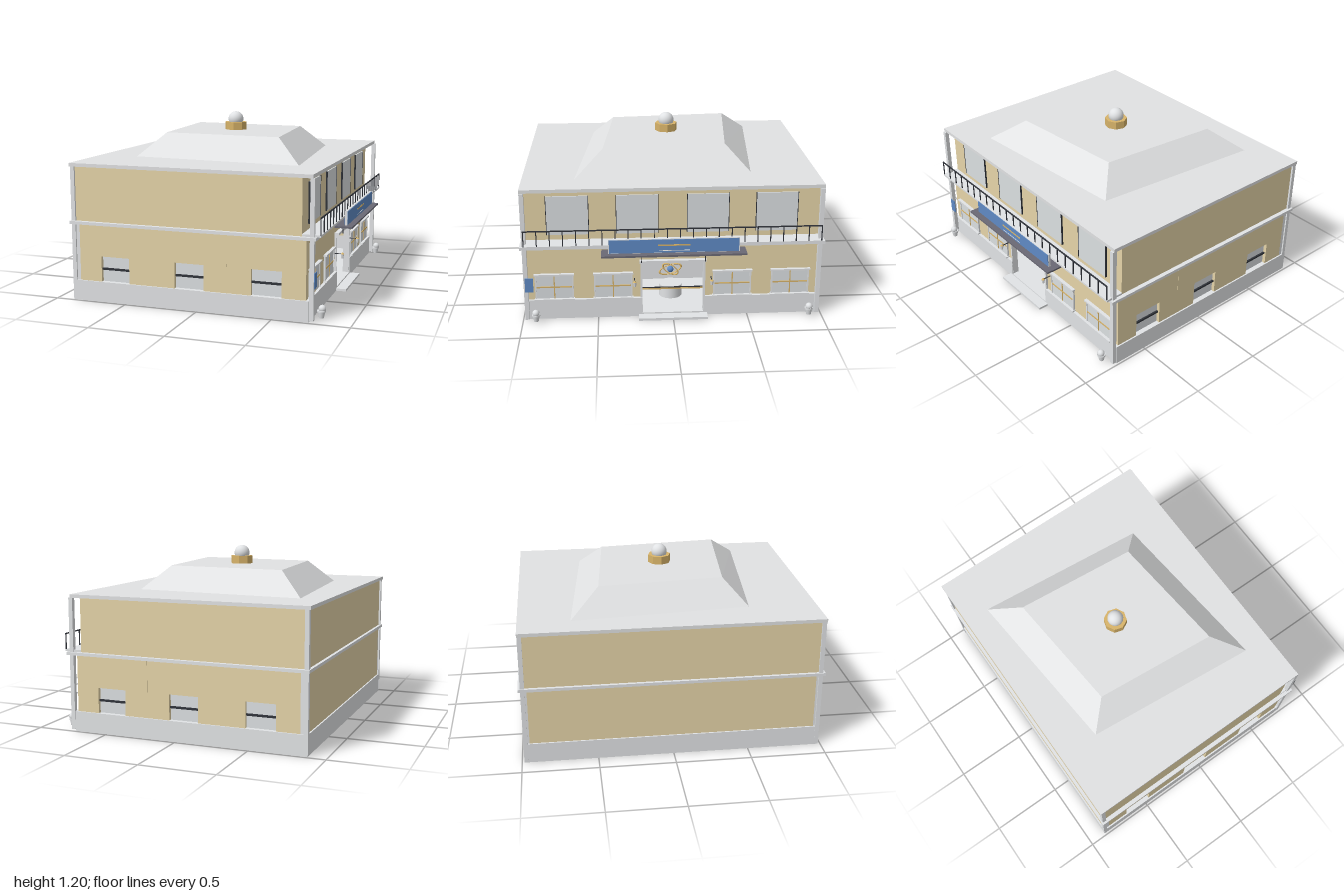
import * as THREE from 'three';

const mat = (name, color, extra = {}) => {
  const m = new THREE.MeshStandardMaterial({ color, ...extra });
  m.name = name;
  return m;
};

export function createModel() {
  const root = new THREE.Group();
  root.name = 'civicBuilding';
  const stone = mat('paleStone', 0xe1e3e5);
  const roofGrey = mat('roofGrey', 0xe1e2e3, { flatShading: true });
  const tan = mat('tanWall', 0xe5d4a8);
  const gold = mat('gold', 0xd8b46a, { flatShading: true });
  const glass = mat('windowGrey', 0xdbdfe1);
  const iron = mat('darkIron', 0x30333a);
  const slate = mat('canopySlate', 0x6a6975);
  const blue = mat('signBlue', 0x5f8ac4);

  const add = (name, geo, material, x = 0, y = 0, z = 0) => {
    const m = new THREE.Mesh(geo, material);
    m.name = name;
    m.position.set(x, y, z);
    root.add(m);
    return m;
  };
  // Box given by its extents
  const box = (name, m, x0, x1, y0, y1, z0, z1) =>
    add(name, new THREE.BoxGeometry(x1 - x0, y1 - y0, z1 - z0), m,
      (x0 + x1) / 2, (y0 + y1) / 2, (z0 + z1) / 2);
  // Box repeated on both z sides (z0 < z1, given for +z)
  const pair = (name, m, x0, x1, y0, y1, z0, z1) => {
    box(name, m, x0, x1, y0, y1, z0, z1);
    box(name, m, x0, x1, y0, y1, -z1, -z0);
  };

  // Plinth with a doorway gap
  box('floor', stone, -0.88, 0.735, 0, 0.025, -0.985, 0.985);
  box('plinthBack', stone, -0.88, 0.2, 0.025, 0.135, -0.985, 0.985);
  pair('plinthSide', stone, 0.2, 0.735, 0.025, 0.135, 0.94, 0.985);
  pair('plinthFront', stone, 0.69, 0.735, 0.025, 0.135, 0.205, 0.94);

  // Ground floor: rear block and hollow lobby behind the doorway
  box('lowerWallBack', tan, -0.87, 0.19, 0.135, 0.515, -0.945, 0.945);
  box('lobbyBackWall', stone, 0.19, 0.2, 0.025, 0.515, -0.945, 0.945);
  pair('lobbySide', tan, 0.2, 0.69, 0.135, 0.515, 0.93, 0.945);
  pair('lowerWallFront', tan, 0.69, 0.715, 0.135, 0.515, 0.205, 0.945);
  box('wallOverDoor', tan, 0.69, 0.715, 0.39, 0.515, -0.205, 0.205);
  box('lobbyCeiling', tan, 0.2, 0.69, 0.505, 0.515, -0.93, 0.93);
  pair('cornerQuoin', stone, -0.87, -0.83, 0.135, 0.515, 0.945, 0.975);

  // Outer side walls: piers between recessed windows, band above, joint at x = 0.2
  for (const [x0, x1] of [[-0.83, -0.675], [-0.475, -0.155], [0.045, 0.2], [0.2, 0.36], [0.56, 0.715]])
    pair('sidePier', tan, x0, x1, 0.135, 0.305, 0.945, 0.975);
  pair('sideBandRear', tan, -0.83, 0.199, 0.305, 0.515, 0.945, 0.975);
  pair('sideBandFront', tan, 0.201, 0.715, 0.305, 0.515, 0.945, 0.975);
  for (const x of [-0.675, -0.155, 0.36]) {
    pair('sideWindow', glass, x, x + 0.2, 0.135, 0.305, 0.945, 0.951);
    pair('sideWindowBar', iron, x, x + 0.2, 0.213, 0.226, 0.951, 0.963);
  }

  // Ledge, upper floor and roof slab
  box('ledge', stone, -0.89, 0.78, 0.515, 0.535, -1, 1);
  box('upperWall', tan, -0.87, 0.685, 0.535, 0.895, -0.972, 0.972);
  box('roofSlab', roofGrey, -0.89, 0.755, 0.895, 0.918, -0.987, 0.987);
  for (const x of [-0.882, 0.737]) pair('cornerPillar', stone, x, x + 0.028, 0.01, 0.895, 0.957, 0.985);

  // Skewed hipped roof made from two rings of corners
  const low = [[-0.72, -0.648], [0.46, -0.54], [0.572, 0.643], [-0.614, 0.532]];
  const high = [[-0.53, -0.455], [0.302, -0.38], [0.381, 0.452], [-0.455, 0.378]];
  const pts = [];
  const v = (c, y) => [c[0], y, c[1]];
  for (let i = 0; i < 4; i++) {
    const j = (i + 1) % 4;
    const a = v(low[i], 0.918), b = v(low[j], 0.918), c = v(high[j], 1.075), d = v(high[i], 1.075);
    pts.push(...a, ...c, ...b, ...a, ...d, ...c);
  }
  const t = high.map(c => v(c, 1.075));
  pts.push(...t[0], ...t[2], ...t[1], ...t[0], ...t[3], ...t[2]);
  const hip = new THREE.BufferGeometry();
  hip.setAttribute('position', new THREE.Float32BufferAttribute(pts, 3));
  hip.computeVertexNormals();
  add('hippedRoof', hip, roofGrey);

  // Octagonal cupola with dome
  add('cupolaBase', new THREE.CylinderGeometry(0.078, 0.078, 0.055, 8), gold, -0.076, 1.102, 0).rotation.y = 0.1;
  add('cupolaDome', new THREE.SphereGeometry(0.054, 24, 16), stone, -0.076, 1.15, 0);

  // Upper facade windows with thin dark frames
  for (const z of [0.095, 0.55]) {
    pair('upperWindow', glass, 0.685, 0.694, 0.585, 0.85, z, z + 0.275);
    for (const e of [z, z + 0.275])
      pair('upperWindowJamb', iron, 0.685, 0.696, 0.585, 0.851, e - 0.002, e + 0.002);
  }

  // Lower facade windows with gold glazing bars
  for (const z of [0.27, 0.66]) {
    pair('lowerWindow', glass, 0.715, 0.722, 0.135, 0.31, z, z + 0.255);
    pair('lowerWindowHead', stone, 0.715, 0.738, 0.309, 0.32, z - 0.006, z + 0.261);
    pair('lowerWindowSill', stone, 0.715, 0.742, 0.133, 0.143, z - 0.006, z + 0.261);
    for (const e of [z, z + 0.245])
      pair('lowerWindowJamb', stone, 0.715, 0.727, 0.143, 0.309, e, e + 0.01);
    pair('glazingBar', gold, 0.722, 0.726, 0.22, 0.229, z + 0.01, z + 0.245);
    pair('glazingPost', gold, 0.722, 0.726, 0.143, 0.309, z + 0.124, z + 0.131);
  }

  // Balcony deck and railing
  box('balconyDeck', stone, 0.685, 0.805, 0.535, 0.549, -0.975, 0.975);
  box('topRail', iron, 0.797, 0.805, 0.649, 0.656, -0.972, 0.972);
  for (let i = 0; i <= 23; i++) {
    const z = -0.969 + i * (1.938 / 23);
    box('baluster', iron, 0.798, 0.804, 0.549, 0.65, z - 0.003, z + 0.003);
  }

  // Canopy, its hangers and the plain sign board with trim lines
  box('canopy', slate, 0.77, 0.888, 0.494, 0.506, -0.47, 0.47);
  pair('canopyPost', iron, 0.768, 0.774, 0.405, 0.494, 0.208, 0.214);
  box('signFrame', stone, 0.83, 0.845, 0.506, 0.602, -0.425, 0.425);
  box('signFace', blue, 0.845, 0.849, 0.509, 0.598, -0.42, 0.42);
  box('signBack', blue, 0.827, 0.83, 0.509, 0.598, -0.42, 0.42);
  box('signGoldStripe', gold, 0.849, 0.851, 0.555, 0.565, -0.105, 0.105);
  box('signPaleStripe', stone, 0.849, 0.851, 0.521, 0.525, -0.1, 0.1);

  // Door surround and step
  box('doorLintel', stone, 0.69, 0.745, 0.388, 0.405, -0.222, 0.222);
  pair('doorJamb', stone, 0.685, 0.73, 0.025, 0.39, 0.203, 0.216);
  box('doorStep', stone, 0.735, 0.805, 0, 0.016, -0.23, 0.23);

  // Lobby display: atom above a round pedestal behind a barrier
  add('pedestal', new THREE.CylinderGeometry(0.08, 0.08, 0.085, 24), stone, 0.45, 0.067, 0);
  add('atomCore', new THREE.SphereGeometry(0.022, 16, 12), blue, 0.45, 0.212, 0);
  for (const [radius, tilt, squash] of [[0.078, 0.32, 0.42], [0.06, -0.6, 0.5]]) {
    const ring = add('atomOrbit', new THREE.TorusGeometry(radius, 0.007, 8, 32), gold, 0.45, 0.212, 0);
    ring.scale.y = squash;
    ring.rotation.set(0, Math.PI / 2, tilt);
  }
  box('barrierRail', iron, 0.545, 0.553, 0.119, 0.124, -0.3, 0.3);
  box('barrierTrim', gold, 0.545, 0.556, 0.109, 0.119, -0.3, 0.3);
  for (const z of [-0.43, 0.43]) {
    add('displayStand', new THREE.CylinderGeometry(0.035, 0.035, 0.13, 12), stone, 0.43, 0.09, z);
    add('displayPiece', new THREE.SphereGeometry(0.025, 8, 6), gold, 0.43, 0.17, z);
  }

  // Wall lanterns and potted shrubs
  for (const s of [-1, 1]) {
    box('lanternBracket', iron, 0.715, 0.775, 0.268, 0.272, s * 0.255 - 0.003, s * 0.255 + 0.003);
    add('lantern', new THREE.CylinderGeometry(0.012, 0.008, 0.03, 6), stone, 0.78, 0.255, s * 0.255);
    add('lanternCap', new THREE.ConeGeometry(0.013, 0.01, 6), gold, 0.78, 0.275, s * 0.255);
    add('planter', new THREE.CylinderGeometry(0.024, 0.016, 0.042, 16), stone, 0.798, 0.037, s * 0.91);
    add('planterRim', new THREE.CylinderGeometry(0.028, 0.028, 0.01, 16), stone, 0.798, 0.06, s * 0.91);
    add('shrub', new THREE.SphereGeometry(0.024, 14, 10), stone, 0.803, 0.075, s * 0.91);
  }

  // Plain wall plaque
  box('plaque', blue, 0.765, 0.769, 0.212, 0.31, 0.922, 0.976);
  return root;
}
